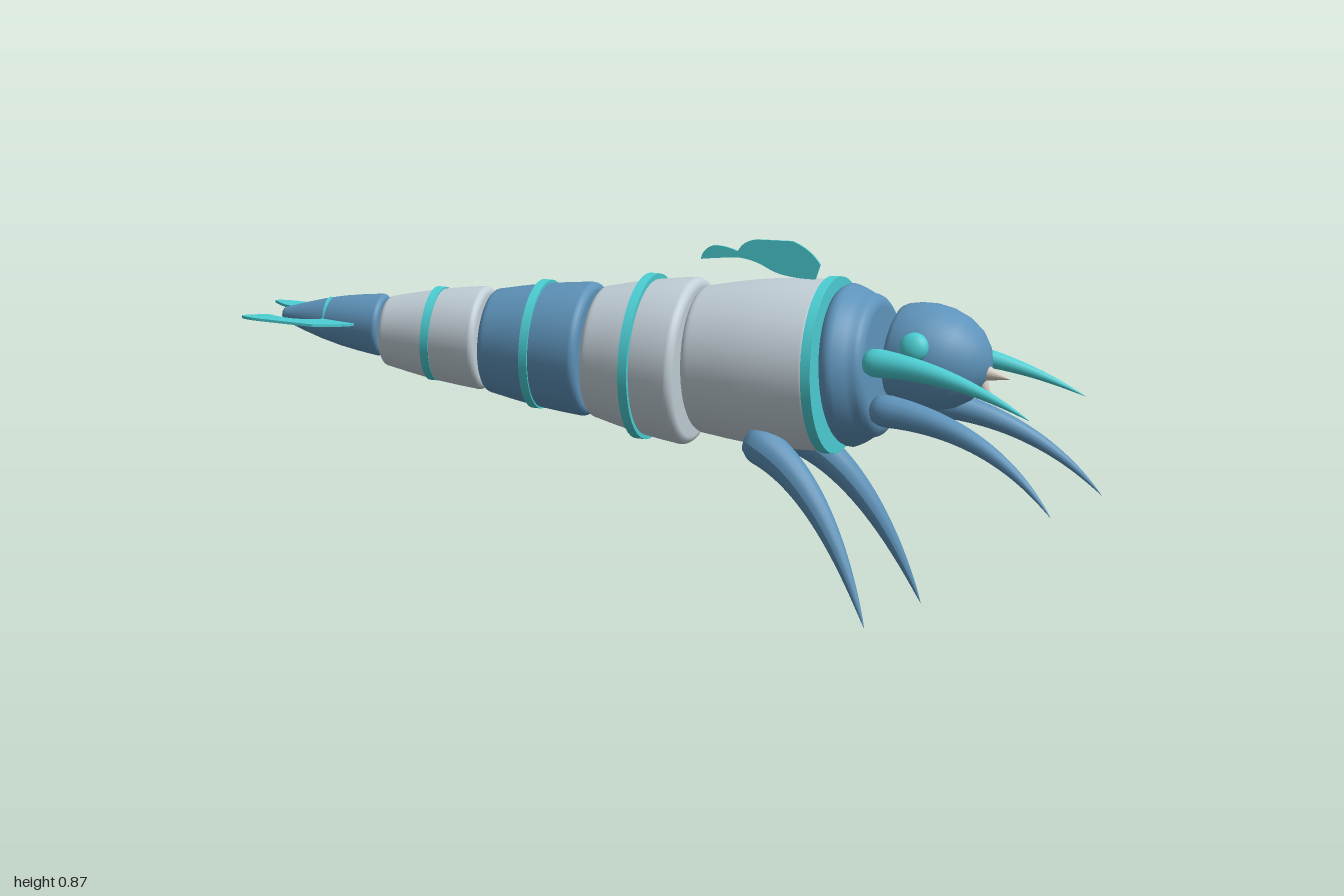
import * as THREE from 'three';

const mat = (name, color, side = THREE.FrontSide) => {
  const m = new THREE.MeshStandardMaterial({ color, side });
  m.name = name;
  return m;
};

export function createModel() {
  const blue = mat('steel blue', 0x5e93ba);
  const grey = mat('pale grey', 0xc3d0d8);
  const teal = mat('turquoise', 0x4bcdd2, THREE.DoubleSide);
  const ivory = mat('ivory', 0xd3cabe);
  const model = new THREE.Group();

  const add = (name, geometry, material, parent = model) => {
    const mesh = new THREE.Mesh(geometry, material);
    mesh.name = name;
    parent.add(mesh);
    return mesh;
  };

  // Places a lathe (built along y) so that it runs from a to b in the xy plane
  const alongAxis = (mesh, a, b) => {
    mesh.position.set(a[0], a[1], 0);
    mesh.rotation.z = Math.atan2(b[1] - a[1], b[0] - a[0]) - Math.PI / 2;
    return mesh;
  };

  // Tapered drum with rounded rims and a slight bulge
  const drum = (name, a, b, r0, r1, material, round = 0.02, bulge = 0.004) => {
    const len = Math.hypot(b[0] - a[0], b[1] - a[1]);
    const pts = [new THREE.Vector2(0, 0)];
    const c = Math.min(round, r0 * 0.9);
    for (let i = 0; i <= 5; i++) {
      const t = (i / 5) * Math.PI / 2;
      pts.push(new THREE.Vector2(r0 - c + c * Math.sin(t), c - c * Math.cos(t)));
    }
    for (let i = 1; i < 5; i++) {
      const t = i / 5;
      pts.push(new THREE.Vector2(r0 + (r1 - r0) * t + bulge * Math.sin(t * Math.PI), c + (len - c - round) * t));
    }
    for (let i = 0; i <= 5; i++) {
      const t = (i / 5) * Math.PI / 2;
      pts.push(new THREE.Vector2(r1 - round + round * Math.cos(t), len - round + round * Math.sin(t)));
    }
    pts.push(new THREE.Vector2(0, len));
    alongAxis(add(name, new THREE.LatheGeometry(pts, 48), material), a, b);
  };

  // Body drums, tail to neck
  drum('tailTip', [-0.94, 0.637], [-0.69, 0.622], 0.018, 0.072, blue, 0.012, 0.008);
  drum('rearBody', [-0.685, 0.61], [-0.437, 0.604], 0.082, 0.12, grey, 0.015);
  drum('middleBody', [-0.43, 0.6], [-0.177, 0.59], 0.122, 0.156, blue, 0.018);
  drum('waist', [-0.17, 0.587], [0.073, 0.574], 0.155, 0.195, grey);
  drum('chest', [0.083, 0.581], [0.405, 0.581], 0.172, 0.2, grey, 0.02, 0.008);
  drum('neck', [0.425, 0.583], [0.53, 0.587], 0.19, 0.168, blue, 0.03, 0.002);

  // Bands around the body: x, y, radius, width
  [[-0.82, 0.631, 0.05, 0.018], [-0.56, 0.609, 0.109, 0.02], [-0.305, 0.597, 0.15, 0.02],
    [-0.047, 0.581, 0.193, 0.022], [0.405, 0.582, 0.206, 0.024]].forEach(([x, y, r, w], i) => {
    const band = add('band' + (i + 1), new THREE.CylinderGeometry(r, r, w, 48), teal);
    band.position.set(x, y, 0);
    band.rotation.z = -Math.PI / 2 - (i < 4 ? 0.04 : 0);
  });

  // Domed head, nodding slightly forward
  const headProfile = [[0, 0], [0.095, 0], [0.106, 0.005], [0.113, 0.016], [0.121, 0.045], [0.125, 0.08],
    [0.121, 0.12], [0.108, 0.16], [0.085, 0.195], [0.055, 0.219], [0.025, 0.231], [0, 0.234]]
    .map(([r, y]) => new THREE.Vector2(r, y));
  alongAxis(add('head', new THREE.LatheGeometry(headProfile, 48), blue), [0.558, 0.625], [0.79, 0.592]);

  // Curved horn: tube tapered to a point with a rounded root
  const horn = (name, pts, radius, material) => {
    const curve = new THREE.QuadraticBezierCurve3(...pts.map((p) => new THREE.Vector3(...p)));
    const rings = 32, sides = 16;
    const g = new THREE.TubeGeometry(curve, rings, radius, sides, false);
    const p = g.attributes.position, v = new THREE.Vector3();
    for (let i = 0; i <= rings; i++) {
      const t = i / rings, c = curve.getPointAt(t);
      const root = t < 0.1 ? Math.sqrt(1 - (1 - t / 0.1) ** 2) : 1;
      const k = root * Math.pow(1 - t, 0.85);
      for (let j = 0; j <= sides; j++) {
        const n = i * (sides + 1) + j;
        v.fromBufferAttribute(p, n).sub(c).multiplyScalar(k).add(c);
        p.setXYZ(n, v.x, v.y, v.z);
      }
    }
    g.computeVertexNormals();
    return add(name, g, material);
  };

  // Wavy fin outline, about 0.29 long, tip at the left and root at the lower right
  const finShape = new THREE.Shape();
  finShape.moveTo(0, 0.025);
  finShape.quadraticCurveTo(0.005, 0.05, 0.03, 0.058);
  finShape.quadraticCurveTo(0.06, 0.06, 0.09, 0.047);
  finShape.quadraticCurveTo(0.105, 0.075, 0.14, 0.077);
  finShape.lineTo(0.225, 0.077);
  finShape.quadraticCurveTo(0.27, 0.06, 0.292, 0.025);
  finShape.lineTo(0.28, -0.01);
  finShape.quadraticCurveTo(0.2, -0.01, 0.165, 0.01);
  finShape.quadraticCurveTo(0.13, 0.03, 0.09, 0.033);
  finShape.quadraticCurveTo(0.04, 0.03, 0, 0.025);
  const finGeo = new THREE.ExtrudeGeometry(finShape, { depth: 0.006, bevelEnabled: false, curveSegments: 8 });
  finGeo.translate(0, 0, -0.003);
  add('dorsalFin', finGeo, teal).position.set(0.082, 0.79, 0);

  // Tail fin outline, lying flat
  const tailShape = new THREE.Shape();
  tailShape.moveTo(-1, 0.122);
  tailShape.quadraticCurveTo(-0.995, 0.142, -0.95, 0.144);
  tailShape.lineTo(-0.82, 0.142);
  tailShape.quadraticCurveTo(-0.765, 0.105, -0.745, 0.065);
  tailShape.lineTo(-0.76, 0.03);
  tailShape.lineTo(-0.82, 0.03);
  tailShape.quadraticCurveTo(-0.83, 0.075, -0.88, 0.09);
  tailShape.quadraticCurveTo(-0.915, 0.095, -0.945, 0.07);
  tailShape.quadraticCurveTo(-0.97, 0.08, -1, 0.122);
  const tailGeo = new THREE.ExtrudeGeometry(tailShape, { depth: 0.006, bevelEnabled: false, curveSegments: 8 });
  tailGeo.rotateX(Math.PI / 2);
  // Tips rise gently toward the rear
  const tp = tailGeo.attributes.position;
  for (let i = 0; i < tp.count; i++) tp.setY(i, tp.getY(i) + 0.636 - (tp.getX(i) + 0.8) * 0.06);
  tailGeo.computeVertexNormals();

  // Mirrored pairs
  for (const [side, s] of [['right', -1], ['left', 1]]) {
    horn(side + 'Whisker', [[0.52, 0.615, s * 0.135], [0.75, 0.612, s * 0.165], [0.955, 0.505, s * 0.203]], 0.037, teal);
    horn(side + 'FrontLeg', [[0.525, 0.5, s * 0.1], [0.83, 0.485, s * 0.135], [1, 0.277, s * 0.185]], 0.042, blue);
    horn(side + 'RearLeg', [[0.225, 0.42, s * 0.105], [0.42, 0.36, s * 0.15], [0.55, 0, s * 0.205]], 0.05, blue);

    const eye = add(side + 'Eye', new THREE.SphereGeometry(0.035, 24, 16), teal);
    eye.position.set(0.645, 0.652, s * 0.124);
    eye.scale.z = 0.65;
    eye.rotation.x = -s * 0.25;

    add(side + 'TailFin', tailGeo, teal).scale.z = s;
  }

  // Beak: upper and lower cones
  const cone = (name, a, b, r) => {
    const len = Math.hypot(b[0] - a[0], b[1] - a[1]);
    const g = new THREE.ConeGeometry(r, len, 16);
    g.translate(0, len / 2, 0);
    alongAxis(add(name, g, ivory), a, b);
  };
  cone('upperBeak', [0.765, 0.585], [0.838, 0.568], 0.024);
  cone('lowerBeak', [0.765, 0.56], [0.797, 0.512], 0.018);

  return model;
}
